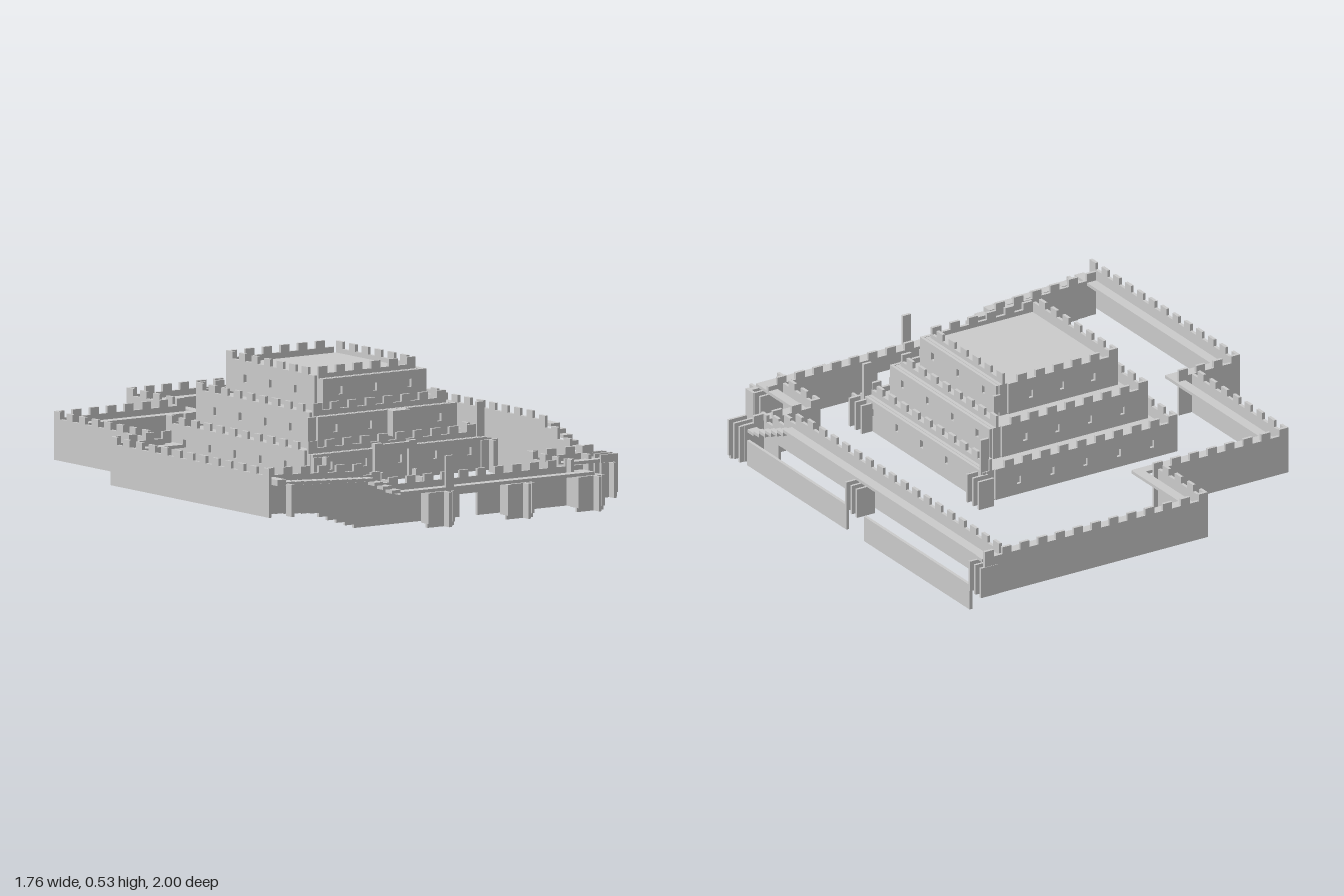
import * as THREE from 'three';

const mat = new THREE.MeshStandardMaterial({ color: 0xcccccc, flatShading: true, side: THREE.DoubleSide });
const CELL = 0.04; // merlon width
const T = 0.012;   // plate thickness

export function createModel() {
  const root = new THREE.Group();
  root.name = 'fortress';

  const add = (parent, name, geo) => {
    const m = new THREE.Mesh(geo, mat);
    m.name = name;
    parent.add(m);
    return m;
  };
  const group = (name) => {
    const g = new THREE.Group();
    g.name = name;
    root.add(g);
    return g;
  };
  // box given by its limits
  const box = (parent, name, x0, x1, y0, y1, z0, z1) =>
    add(parent, name, new THREE.BoxGeometry(x1 - x0, y1 - y0, z1 - z0)
      .translate((x0 + x1) / 2, (y0 + y1) / 2, (z0 + z1) / 2));

  const fn = (v) => (typeof v === 'function' ? v : () => v);

  // plate along 'x' or 'z' whose top and bottom follow stepped functions;
  // merlon is the rise of every second cell, holes are windows [u, y]
  const plate = (parent, name, axis, at, a, b, bottom, top, { t = T, merlon = 0.027, holes = [] } = {}) => {
    const n = Math.max(1, Math.round((b - a) / CELL)), w = (b - a) / n;
    const bot = fn(bottom), tp = fn(top), up = [], down = [];
    for (let i = 0; i < n; i++) {
      const u = a + i * w, mid = u + w / 2;
      const h = tp(mid) + (i % 2 ? 0 : merlon), l = bot(mid);
      up.push(new THREE.Vector2(u, h), new THREE.Vector2(u + w, h));
      down.push(new THREE.Vector2(u, l), new THREE.Vector2(u + w, l));
    }
    const shape = new THREE.Shape([...down, ...up.reverse()]);
    for (const [u, y] of holes) {
      const p = new THREE.Path();
      p.moveTo(u - 0.009, y - 0.015);
      p.lineTo(u - 0.009, y + 0.015);
      p.lineTo(u + 0.009, y + 0.015);
      p.lineTo(u + 0.009, y - 0.015);
      p.closePath();
      shape.holes.push(p);
    }
    const g = new THREE.ExtrudeGeometry(shape, { depth: t, bevelEnabled: false });
    if (axis === 'x') g.translate(0, 0, at);
    else g.rotateY(-Math.PI / 2).translate(at + t, 0, 0);
    return add(parent, name, g);
  };

  // ---- outer wall: crenellated plate and a walkway beside it ----
  const HIGH = 0.255, LOW = 0.162;
  const ramp = (v, a, b) => THREE.MathUtils.clamp((v - a) / (b - a), 0, 1);
  const frontTop = (x) => 0.245 - 0.02 * ramp(x, -0.8, -0.42) - (0.225 - LOW) * ramp(x, -0.42, -0.28);
  const frontBottom = (x) => {
    if (x > 0.03 && x < 0.13) return 0.1; // gateway
    return 0.1 - 0.02 * ramp(x, -0.8, -0.55) - 0.065 * ramp(x, -0.62, -0.42);
  };
  const sideTop = (z) => HIGH - (HIGH - LOW) * ramp(z, 0.38, 0.6);
  const sideBottom = (z) => (z > 0.56 ? 0.015 : 0.1);

  const outer = group('outerWall');
  // [axis, plate position, plate span, walkway position, walkway span, bottom, top]
  const runs = [
    ['z', -0.88, -0.04, 0.968, -0.84, -0.001, 0.965, 0.1, HIGH],
    ['x', -0.04, -0.88, -0.612, -0.002, -0.84, -0.6, 0.1, HIGH],
    ['z', -0.68, -0.68, -0.04, -0.64, -0.64, 0.03, 0.1, HIGH],
    ['x', -0.68, -0.68, -0.09, -0.64, -0.64, -0.045, 0.1, HIGH],
    ['z', -0.12, -1, -0.668, -0.08, -0.965, -0.605, 0.1, HIGH],
    ['x', -1, -0.12, 0.86, -0.965, -0.08, 0.85, 0.1, HIGH],
    ['z', 0.763, -0.965, 0.7, 0.807, -0.965, 0.72, sideBottom, sideTop],
    ['x', 0.64, 0.525, 0.86, 0.68, 0.56, 0.85, 0.015, LOW],
    ['z', 0.525, 0.64, 0.92, 0.56, 0.68, 0.965, 0.015, LOW],
    ['x', 0.88, -0.84, 0.6, 0.925, -0.84, 0.6, frontBottom, frontTop],
  ];
  for (const [axis, at, a, b, wAt, wa, wb, bottom, top] of runs) {
    plate(outer, 'battlement', axis, at, a, b, bottom, top);
    const h = fn(top);
    plate(outer, 'walkway', axis, wAt, wa, wb, (u) => h(u) - 0.03, (u) => h(u) - 0.018, { t: 0.04, merlon: 0 });
  }

  // lower facing of the side wall, split by the side gate
  for (const [a, b] of [[-0.88, -0.16], [-0.04, 0.64]])
    box(outer, 'lowerFacing', 0.838, 0.85, 0, 0.1, a, b);

  // front buttresses: a wide plate with a narrow fin
  for (const x of [-0.1, 0.26, 0.58]) {
    box(outer, 'buttress', x - 0.06, x + 0.06, 0, 0.13, 0.955, 0.967);
    box(outer, 'buttressFin', x + 0.015, x + 0.027, 0, 0.13, 0.967, 1);
    for (const s of [-1, 1])
      box(outer, 'buttressCheek', x + s * 0.054 - 0.006, x + s * 0.054 + 0.006, 0.015, 0.13, 0.925, 0.975);
  }
  box(outer, 'buttress', 0.8, 0.87, 0, 0.13, 0.718, 0.73);
  box(outer, 'buttressFin', 0.835, 0.847, 0, 0.13, 0.73, 0.76);
  box(outer, 'cornerFin', -0.8, -0.788, 0.1, 0.22, 0.965, 1);
  box(outer, 'gatePost', -0.075, -0.04, 0.13, 0.262, 0.955, 0.967);

  // side buttresses: fins in sets of three
  for (const [z, y0, y1] of [[-0.96, 0.1, 0.22], [-0.115, 0.1, 0.215], [0.685, 0.015, 0.16]])
    for (const d of [-0.037, 0, 0.037])
      box(outer, 'sideFin', 0.8, 0.878, y0, y1, z + d - 0.005, z + d + 0.005);
  for (const z of [0.885, 0.925, 0.955])
    box(outer, 'sideFin', 0.59, 0.636, 0.015, 0.13, z - 0.005, z + 0.005);

  // ---- keep: three stepped storeys with offset battlements ----
  const keep = group('keep');
  const tiers = [
    { x0: -0.36, x1: 0.43, z0: -0.32, z1: 0.52, y0: 0.112, y1: 0.235, top: 0.255 },
    { x0: -0.28, x1: 0.35, z0: -0.24, z1: 0.44, y0: 0.235, y1: 0.36, top: 0.38 },
    { x0: -0.2, x1: 0.27, z0: -0.16, z1: 0.36, y0: 0.36, y1: 0.485, top: 0.502 },
  ];
  tiers.forEach(({ x0, x1, z0, z1, y0, y1, top }) => {
    box(keep, 'storey', x0, x1 - 0.015, y0, y1, z0, z1 - 0.015);
    const wy = (y0 + y1) / 2 + 0.015;
    const windows = (a, b) => {
      const n = Math.max(2, Math.round((b - a) / 0.16)), list = [];
      for (let i = 0; i < n; i++) list.push([a + ((i + 0.5) * (b - a)) / n, wy]);
      return list;
    };
    // windowed faces on all sides
    const plain = { merlon: 0 };
    plate(keep, 'frontFace', 'x', z1 - T, x0, x1, y0, y1, { ...plain, holes: windows(x0, x1) });
    plate(keep, 'sideFace', 'z', x1 - T, z0, z1, y0, y1, { ...plain, holes: windows(z0, z1) });
    // battlement plates
    const o = 0.04;
    plate(keep, 'backBattlement', 'x', z0 - o, x0 - o, x1 - 0.03, y0 + 0.02, top, { holes: windows(x0, x1 - 0.06) });
    plate(keep, 'sideBattlement', 'z', x0 - o, z0 - o, z1, y0 + 0.02, top, { holes: windows(z0, z1 - 0.04) });
    plate(keep, 'frontBattlement', 'x', z1 - o, x0, x1 - 0.03, y1, top);
    plate(keep, 'sideBattlement', 'z', x1 - o, z0, z1 - 0.03, y1, top);
  });

  // corner fins and posts of the keep
  for (const z of [-0.32, 0.48]) {
    for (const d of [-0.04, 0, 0.04])
      box(keep, 'cornerFin', 0.41, 0.476, 0.112, 0.225, z + d - 0.005, z + d + 0.005);
    box(keep, 'cornerPost', 0.4, 0.435, 0.225, 0.365, z + 0.005, z + 0.017);
  }
  for (const x of [-0.32, 0.44]) {
    box(keep, 'cornerPlate', x - 0.04, x + 0.03, 0.112, 0.225, 0.515, 0.527);
    box(keep, 'cornerFin', x - 0.005, x + 0.005, 0.112, 0.225, 0.527, 0.555);
  }
  box(keep, 'cornerPost', -0.36, -0.325, 0.255, 0.37, 0.475, 0.487);
  box(keep, 'cornerPost', 0.255, 0.285, 0.38, 0.45, -0.17, -0.158);

  // entrance: doorway, bay above and stepped stair cheeks
  const entry = group('entrance');
  box(entry, 'bay', 0.035, 0.115, 0.265, 0.36, 0.43, 0.475);
  for (const x of [-0.078, 0.078]) {
    box(entry, 'doorJamb', x - 0.012, x + 0.024, 0.112, 0.255, 0.515, 0.535);
    plate(entry, 'stairCheek', 'z', x, 0.52, 0.68,
      (z) => 0.095 - 0.06 * ramp(z, 0.54, 0.68), (z) => 0.155 - 0.09 * ramp(z, 0.53, 0.68), { merlon: 0 });
  }
  box(entry, 'lintel', -0.09, 0.102, 0.225, 0.25, 0.515, 0.535);

  return root;
}
